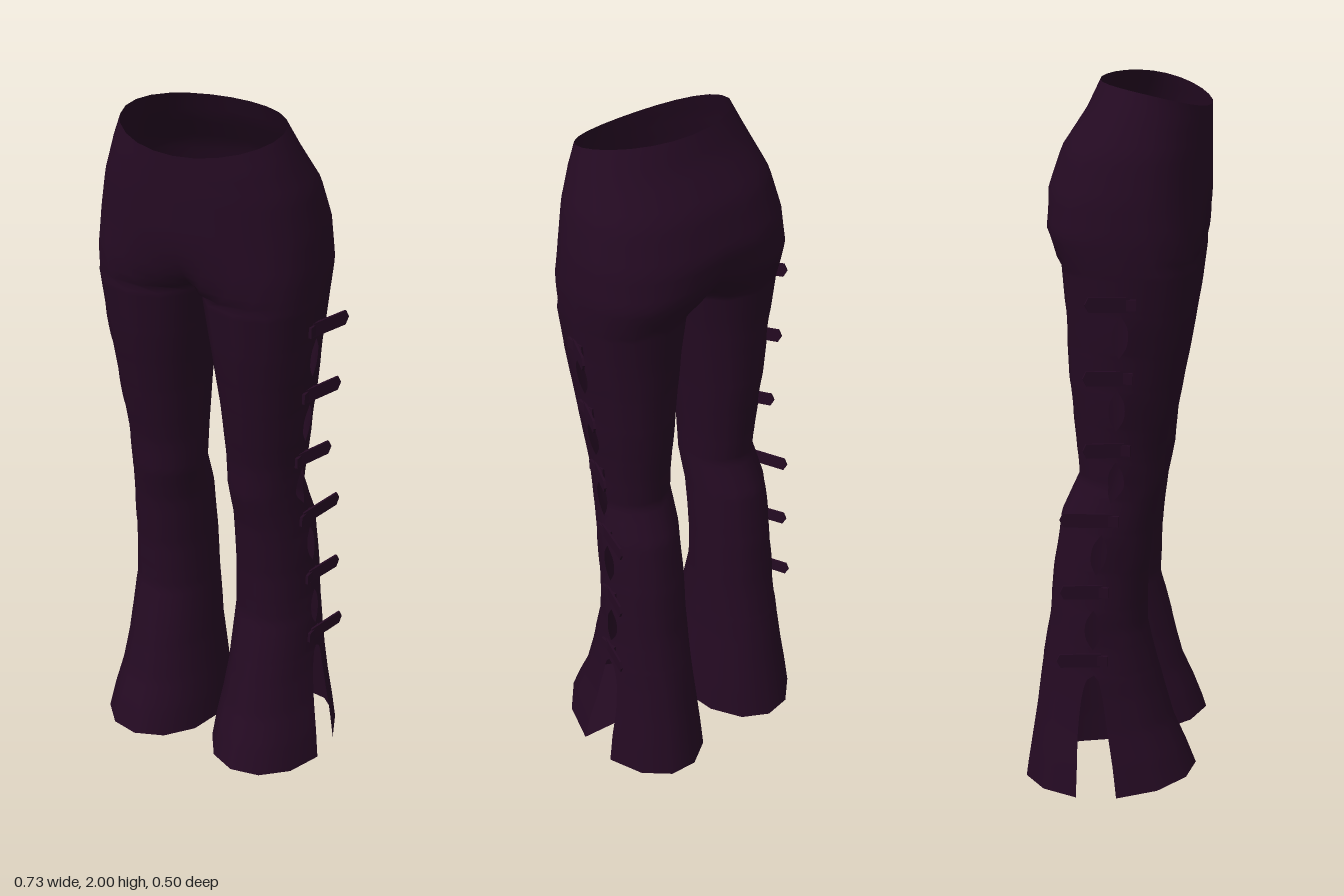
import * as THREE from 'three';
import { mergeVertices } from 'three/addons/utils/BufferGeometryUtils.js';

const plum = new THREE.MeshStandardMaterial({ color: 0x240a22, side: THREE.DoubleSide });
plum.name = 'dark plum cloth';

// Cross-sections of one half: y, inner x, outer x, front z, back z, rise of the front edge, roundness
const SECTIONS = [
  [0.00, 0.010, 0.358, 0.252, -0.254, 0.045, 1],
  [0.10, 0.018, 0.344, 0.222, -0.238, 0.020, 1],
  [0.20, 0.030, 0.325, 0.185, -0.222, 0, 1],
  [0.30, 0.042, 0.310, 0.157, -0.208, 0, 1],
  [0.50, 0.052, 0.294, 0.106, -0.176, 0, 1],
  [0.65, 0.054, 0.288, 0.108, -0.163, 0, 1],
  [0.82, 0.055, 0.280, 0.125, -0.138, 0, 1],
  [0.93, 0.052, 0.265, 0.147, -0.090, 0, 1],
  [1.03, 0.048, 0.272, 0.153, -0.097, 0, 1],
  [1.20, 0.036, 0.290, 0.184, -0.114, 0, 1],
  [1.40, 0.015, 0.309, 0.217, -0.123, 0, 0.95],
  [1.53, 0.000, 0.320, 0.232, -0.134, 0, 0.9],
  [1.62, -0.10, 0.322, 0.243, -0.175, 0, 0.86],
  [1.72, -0.27, 0.314, 0.252, -0.181, 0, 0.85],
  [1.83, -0.29, 0.292, 0.252, -0.146, 0, 0.86],
  [1.93, -0.256, 0.256, 0.251, -0.080, -0.035, 0.92],
  [2.00, -0.230, 0.230, 0.251, -0.047, -0.065, 1],
];

function sectionAt(y) {
  let i = 0;
  while (i < SECTIONS.length - 2 && y > SECTIONS[i + 1][0]) i++;
  const a = SECTIONS[i], b = SECTIONS[i + 1];
  const t = (y - a[0]) / (b[0] - a[0]);
  return a.map((v, k) => THREE.MathUtils.lerp(v, b[k], t));
}

// Opening along the outer seam, ahead of it (s > 0) or behind: hem slit, then eyelets between straps
const EYELETS = [0.51, 0.735, 0.945, 1.155, 1.365];
function seamGap(y, s) {
  if (y < 0.375) return (s > 0 ? 0.042 : 0.075) * Math.pow((0.375 - y) / 0.375, 0.4);
  for (const c of EYELETS) {
    const d = (y - c) / 0.05;
    if (Math.abs(d) < 1) return 0.022 * Math.sqrt(1 - d * d);
  }
  return 0;
}

// One open row of points from the centre front, round the outside, to the centre back
const HALF = 6;
const spow = (v, p) => Math.sign(v) * Math.pow(Math.abs(v), p);
function rowPoints(y) {
  const [, inner, outer, front, back, rise, power] = sectionAt(y);
  const cx = (inner + outer) / 2, wx = (outer - inner) / 2;
  const cz = (front + back) / 2, wz = (front - back) / 2;
  const end = cx >= wx ? Math.PI : Math.acos(-Math.pow(cx / wx, 1 / power));
  const points = [];
  for (const s of [1, -1]) {
    const gap = Math.asin(Math.pow(seamGap(y, s) / wz, 1 / power));
    for (let i = 0; i <= HALF; i++) {
      const t = s > 0 ? 1 - i / HALF : i / HALF;
      const a = s * THREE.MathUtils.lerp(gap, end, t);
      const sz = spow(Math.sin(a), power);
      const x = cx + wx * spow(Math.cos(a), power);
      points.push([Math.abs(x) < 1e-5 ? 0 : x, y + rise * ((sz + 1) / 2) ** 2, cz + wz * sz]);
    }
  }
  return points;
}

function trouserGeometry() {
  const ys = [];
  for (let i = 0; i <= 102; i++) ys.push(i * 0.015);
  for (let i = 1; i <= 20; i++) ys.push(1.53 + 0.47 * i / 20);
  const rows = ys.map(rowPoints);
  const cols = 2 * (HALF + 1);
  const positions = [], index = [];
  for (const side of [1, -1]) {
    const base = positions.length / 3;
    for (const row of rows) for (const [x, y, z] of row) positions.push(side * x, y, z);
    for (let r = 0; r < rows.length - 1; r++) {
      for (let c = 0; c < cols - 1; c++) {
        if (c === HALF) continue; // the outer seam opening
        const a = base + r * cols + c, b = a + 1, d = a + cols, e = d + 1;
        if (side > 0) index.push(a, b, e, a, e, d);
        else index.push(a, e, b, a, d, e);
      }
    }
  }
  const geo = new THREE.BufferGeometry();
  geo.setAttribute('position', new THREE.Float32BufferAttribute(positions, 3));
  geo.setIndex(index);
  const merged = mergeVertices(geo, 1e-4);
  merged.computeVertexNormals();
  return merged;
}

// Flat panel closing the front half of a hem, as a fan facing down
function hemPanelGeometry() {
  const points = rowPoints(0).slice(0, HALF + 1);
  const index = [];
  for (let i = 1; i < HALF; i++) index.push(0, i + 1, i);
  const geo = new THREE.BufferGeometry();
  geo.setAttribute('position', new THREE.Float32BufferAttribute(points.flat(), 3));
  geo.setIndex(index);
  geo.computeVertexNormals();
  return geo;
}

// Pointed strip from (x0, z0) on the seam to its free tip (x1, z1)
function strapMesh(y, x0, z0, x1, z1) {
  const length = Math.hypot(x1 - x0, z1 - z0), h = 0.02;
  const shape = new THREE.Shape([
    new THREE.Vector2(0, -h), new THREE.Vector2(length - 0.012, -h),
    new THREE.Vector2(length, 0), new THREE.Vector2(length - 0.008, h),
    new THREE.Vector2(0, h),
  ]);
  const geo = new THREE.ExtrudeGeometry(shape, { depth: 0.006, bevelEnabled: false });
  geo.translate(0, 0, -0.003);
  const mesh = new THREE.Mesh(geo, plum);
  mesh.position.set(x0, y, z0);
  mesh.rotation.set(0, Math.atan2(z0 - z1, x1 - x0), 0.08);
  mesh.name = 'strapTail';
  return mesh;
}

// Strap heights with the x and z of each free tip
const STRAPS = [
  [1.455, 0.360, -0.040], [1.25, 0.340, -0.050], [1.04, 0.316, -0.055],
  [0.835, 0.316, -0.120], [0.625, 0.324, -0.120], [0.42, 0.336, -0.130],
];

export function createModel() {
  const model = new THREE.Group();
  model.name = 'flaredTrousers';

  const cloth = new THREE.Mesh(trouserGeometry(), plum);
  cloth.name = 'trouserCloth';
  model.add(cloth);

  const panelGeometry = hemPanelGeometry();
  for (const side of [1, -1]) {
    const details = new THREE.Group();
    details.name = side > 0 ? 'leftLegDetails' : 'rightLegDetails';
    const panel = new THREE.Mesh(panelGeometry, plum);
    panel.name = 'hemPanel';
    details.add(panel);
    for (const [y, tipX, tipZ] of STRAPS) {
      const [, , outer, front, back] = sectionAt(y);
      const z = (front + back) / 2;
      details.add(strapMesh(y, outer - 0.004, z + 0.02, tipX, tipZ));
      // Short band lying across the seam
      const band = new THREE.Mesh(new THREE.BoxGeometry(0.008, 0.03, 0.06), plum);
      band.position.set(outer - 0.002, y, z + 0.01);
      band.name = 'strapBand';
      details.add(band);
    }
    details.scale.x = side;
    model.add(details);
  }
  return model;
}
